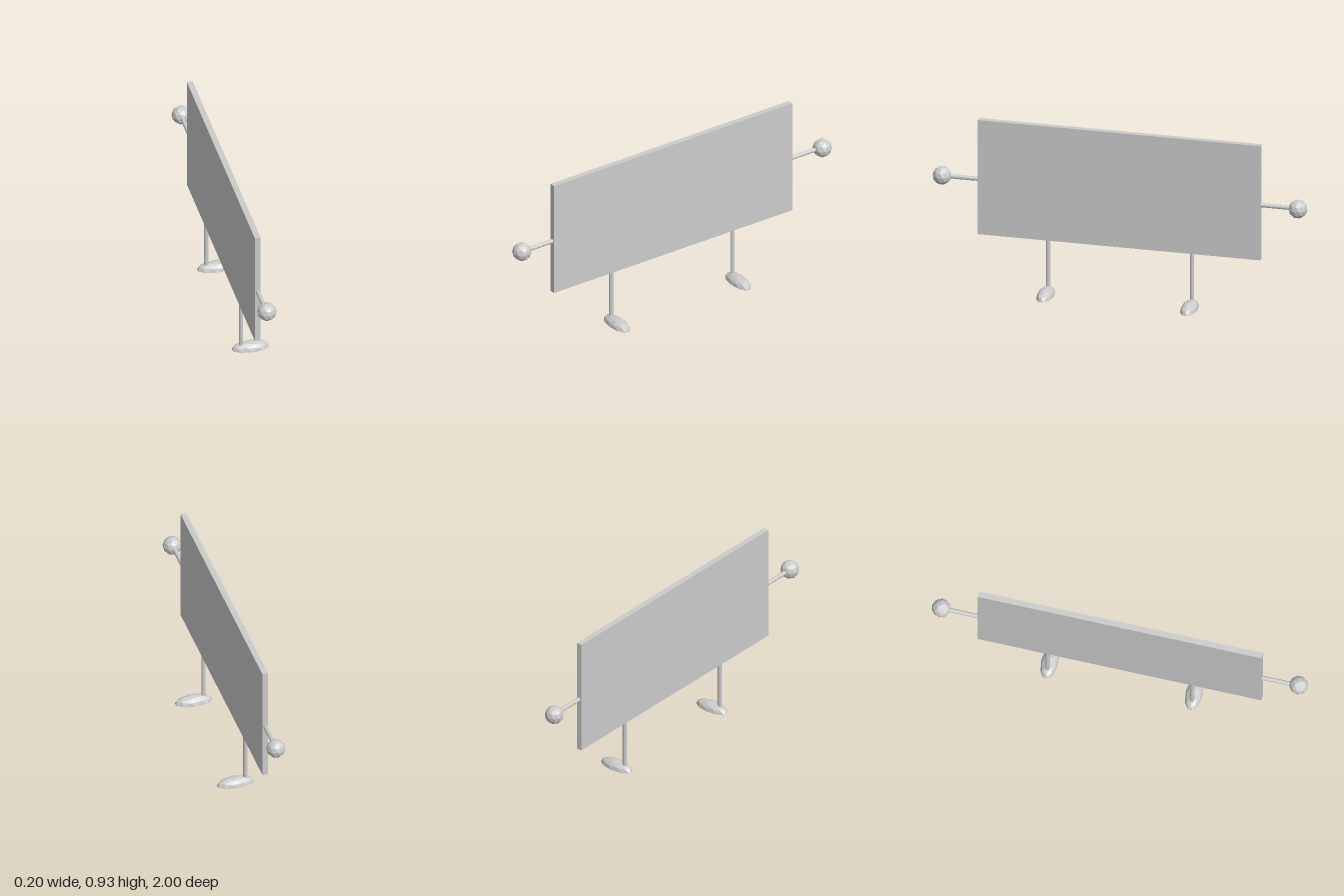
import * as THREE from 'three';

const material = new THREE.MeshStandardMaterial({ color: 0xcccccc, flatShading: true });
const AXIS_X = -0.052; // the panel, rods and balls share this plane

function add(parent, name, geometry, x, y, z) {
  const mesh = new THREE.Mesh(geometry, material);
  mesh.name = name;
  mesh.position.set(x, y, z);
  parent.add(mesh);
  return mesh;
}

// 80-sided ball with one corner straight up and an upper-ring corner towards +x
function facetedBall(radius) {
  const geo = new THREE.IcosahedronGeometry(1, 1);
  const t = (1 + Math.sqrt(5)) / 2;
  const up = new THREE.Vector3(-1, t, 0).normalize();
  const ring = new THREE.Vector3(1, t, 0).normalize();
  const q = new THREE.Quaternion().setFromUnitVectors(up, new THREE.Vector3(0, 1, 0));
  geo.applyQuaternion(q);
  ring.applyQuaternion(q);
  geo.rotateY(Math.atan2(ring.z, ring.x));
  return geo.scale(radius, radius, radius);
}

// Half ball: everything below the equator is pressed into a flat sole
function footGeometry() {
  const geo = facetedBall(1);
  const pos = geo.attributes.position;
  for (let i = 0; i < pos.count; i++) pos.setY(i, Math.max(0, pos.getY(i)));
  geo.scale(0.103, 0.042, 0.045);
  geo.computeVertexNormals();
  return geo;
}

export function createModel() {
  const model = new THREE.Group();
  model.name = 'panelOnLegs';

  // Upright rectangular panel
  add(model, 'panel', new THREE.BoxGeometry(0.031, 0.637, 1.508), AXIS_X, 0.6115, 0.002);

  for (const side of [1, -1]) {
    const end = side > 0 ? 'front' : 'back';

    // Arm rod with a ball hand
    const arm = new THREE.Group();
    arm.name = end + 'Arm';
    const rod = new THREE.CylinderGeometry(0.0115, 0.0115, 0.2, 12).rotateX(Math.PI / 2);
    add(arm, end + 'ArmRod', rod, AXIS_X, 0.596, side * 0.83);
    add(arm, end + 'Hand', facetedBall(0.05), -0.05, side > 0 ? 0.598 : 0.594, side * 0.95);
    model.add(arm);

    // Leg rod standing on a flattened foot that points to +x
    const leg = new THREE.Group();
    leg.name = end + 'Leg';
    add(leg, end + 'LegRod', new THREE.CylinderGeometry(0.0115, 0.0115, 0.29, 12), AXIS_X, 0.165, side * 0.384);
    add(leg, end + 'Foot', footGeometry(), 0, 0, side * 0.384);
    model.add(leg);
  }
  return model;
}
